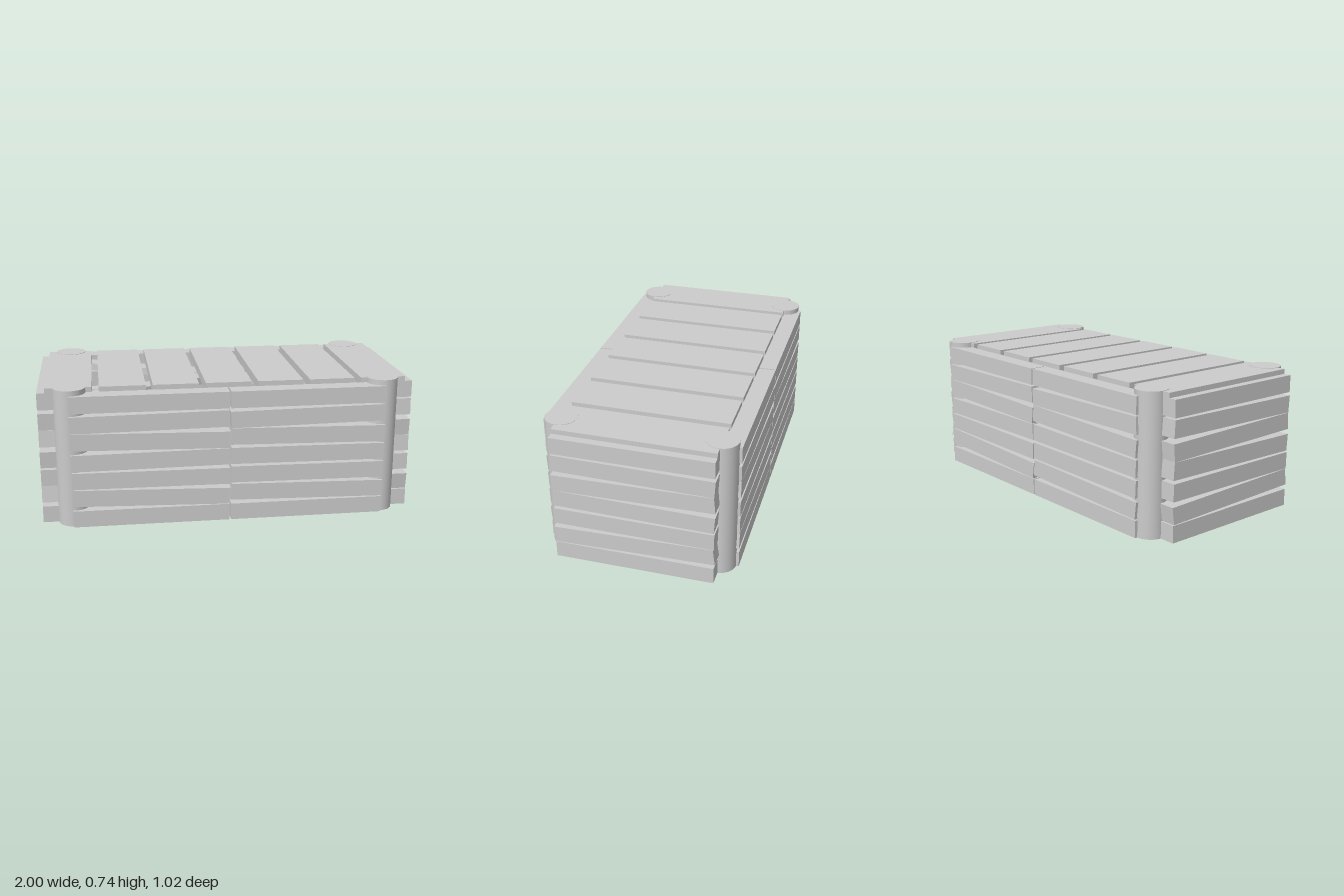
import * as THREE from 'three';

const material = new THREE.MeshStandardMaterial({ color: 0xcccccc });
const ROW_HEIGHT = 0.09, ROW_PITCH = 0.104;

function add(parent, name, geometry, x, y, z) {
  const mesh = new THREE.Mesh(geometry, material);
  mesh.name = name;
  mesh.position.set(x, y, z);
  parent.add(mesh);
  return mesh;
}

// Board whose far ends rise or drop by `rise`, with end faces leaning the same way
function plankGeometry(length, rise) {
  const geometry = new THREE.BoxGeometry(length, ROW_HEIGHT, 0.095);
  const p = geometry.attributes.position;
  for (let i = 0; i < p.count; i++) {
    const x = p.getX(i), y = p.getY(i);
    p.setXY(i, x - y * rise * 6, y + (x / length) * rise);
  }
  geometry.computeVertexNormals();
  return geometry;
}

// Square timber running between two points of a wall's own x-y plane
function brace(parent, x1, y1, x2, y2, z, width, depth) {
  const length = Math.hypot(x2 - x1, y2 - y1);
  const mesh = add(parent, 'diagonalBrace', new THREE.BoxGeometry(length, width, depth),
    (x1 + x2) / 2, (y1 + y2) / 2, z);
  mesh.rotation.z = Math.atan2(y2 - y1, x2 - x1);
}

// Wall built facing +z: columns of boards, uprights and diagonals behind them
function buildWall(name, distance, columns, length, uprights, braces) {
  const wall = new THREE.Group();
  wall.name = name;
  for (const { x, rises } of columns) {
    rises.forEach((rise, row) => add(wall, 'wallPlank', plankGeometry(length, rise),
      x, ROW_HEIGHT / 2 + row * ROW_PITCH, distance - 0.0475));
  }
  for (const x of uprights) {
    add(wall, 'upright', new THREE.BoxGeometry(0.07, 0.69, 0.055), x, 0.345, distance - 0.1225);
  }
  for (const [x1, x2] of braces) {
    brace(wall, x1, 0.06, x2, 0.67, distance - 0.1325, 0.07, 0.045);
  }
  return wall;
}

export function createModel() {
  const crate = new THREE.Group();
  crate.name = 'woodenCrate';

  // Long and short walls, each repeated half a turn around
  const longColumns = [
    { x: -0.422, rises: [0, -0.024, -0.006, 0.006, -0.018, 0.008, 0] },
    { x: 0.416, rises: [0, -0.018, -0.008, -0.008, -0.016, 0.01, 0] },
  ];
  const endColumns = [{ x: 0, rises: [0, 0.022, -0.003, -0.012, 0.015, -0.01, 0] }];
  for (const [side, turn] of [['front', 0], ['back', Math.PI]]) {
    const wall = buildWall(side + 'Wall', 0.51, longColumns, 0.83,
      [-0.64, -0.18, 0.18, 0.64], [[-0.62, -0.2], [0.2, 0.62]]);
    wall.rotation.y = turn;
    crate.add(wall);
  }
  for (const [side, turn] of [['left', Math.PI / 2], ['right', -Math.PI / 2]]) {
    const wall = buildWall(side + 'Wall', 1.0, endColumns, 0.835, [-0.28, 0.28], [[-0.24, 0.24]]);
    wall.rotation.y = turn;
    crate.add(wall);
  }

  // Round corner posts
  for (const x of [-0.832, 0.832]) {
    for (const z of [-0.412, 0.412]) {
      add(crate, 'cornerPost', new THREE.CylinderGeometry(0.084, 0.084, 0.742, 32), x, 0.371, z);
    }
  }

  // Lid boards with crossed battens beneath
  const lid = new THREE.Group();
  lid.name = 'lid';
  for (let i = -3; i <= 3; i++) {
    add(lid, 'lidBoard', new THREE.BoxGeometry(0.243, 0.05, 0.835), i * 0.279, 0.715, 0);
  }
  for (const s of [-1, 1]) {
    const batten = add(lid, 'lidBatten', new THREE.BoxGeometry(1.64, 0.04, 0.095), 0, 0.67, 0);
    batten.rotation.y = s * Math.atan(0.5);
  }
  crate.add(lid);
  return crate;
}
